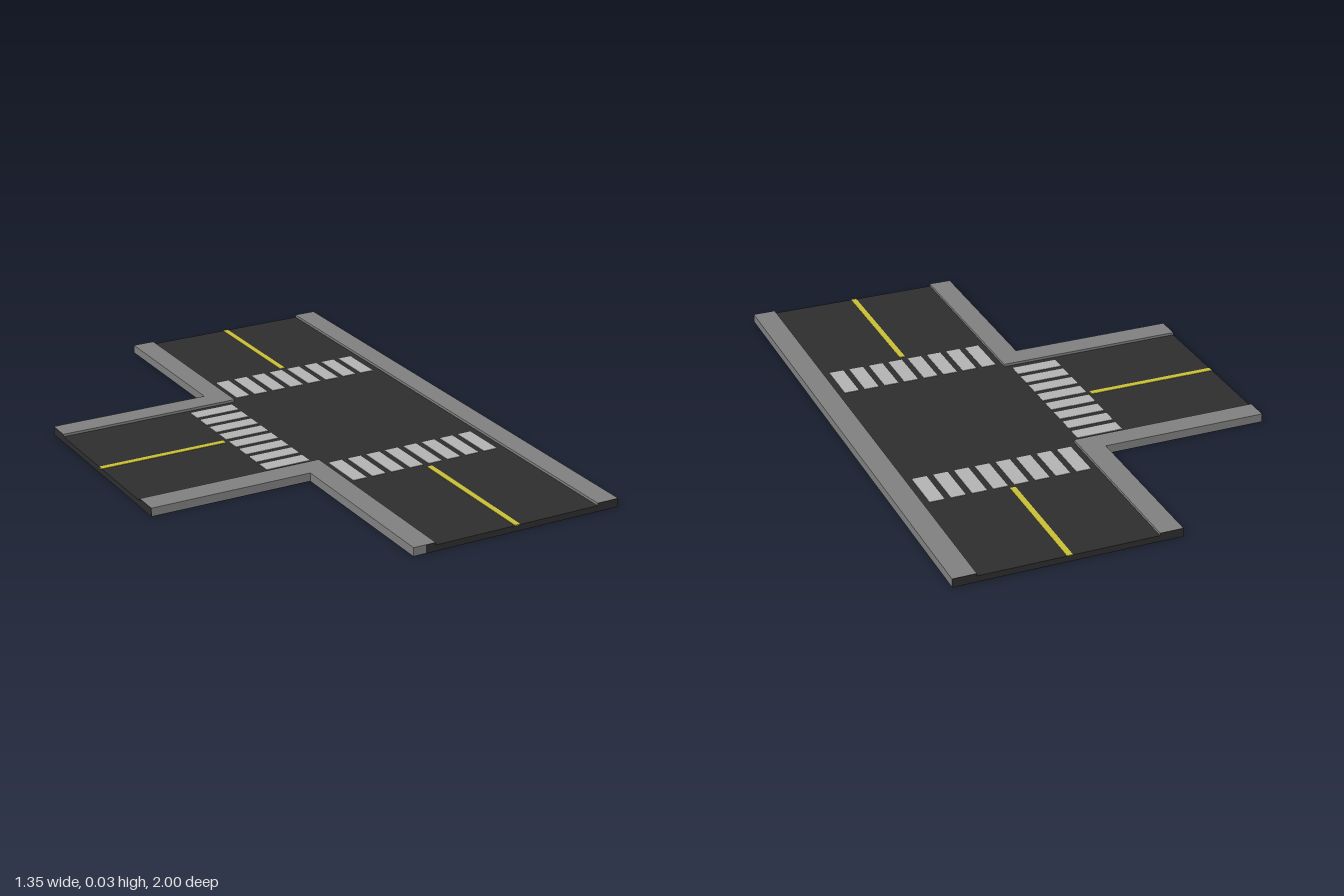
import * as THREE from 'three';

const mat = (color) => new THREE.MeshStandardMaterial({ color });

export function createModel() {
  const model = new THREE.Group();
  const asphalt = mat(0x2d2d2d);
  const concrete = mat(0x7f7f7f);
  const paint = mat(0xb2b2b2);
  const yellow = mat(0xc8be35);

  // Plan outline of [x, z] corners, raised from y0 to y1
  const slab = (name, points, y0, y1, material) => {
    const shape = new THREE.Shape(points.map(([x, z]) => new THREE.Vector2(x, z)));
    const geo = new THREE.ExtrudeGeometry(shape, { depth: y1 - y0, bevelEnabled: false });
    geo.rotateX(Math.PI / 2).translate(0, y1, 0);
    const mesh = new THREE.Mesh(geo, material);
    mesh.name = name;
    model.add(mesh);
  };
  // Box between two plan corners
  const block = (name, x0, x1, z0, z1, y0, y1, material, parent = model) => {
    const mesh = new THREE.Mesh(new THREE.BoxGeometry(x1 - x0, y1 - y0, z1 - z0), material);
    mesh.position.set((x0 + x1) / 2, (y0 + y1) / 2, (z0 + z1) / 2);
    mesh.name = name;
    parent.add(mesh);
  };

  // Main road with its side branch
  const W = -0.675, E = 0.675, A = -0.095, B = -0.015, C = 0.595;
  const N0 = -0.42, N1 = -0.34, S0 = 0.265, S1 = 0.35;
  slab('road', [[B, -1], [C, -1], [C, 1], [B, 1], [B, S0], [W, S0], [W, N1], [B, N1]], 0, 0.021, asphalt);

  // Kerbs: one straight, two turning into the branch
  const k0 = 0.001, k1 = 0.03;
  block('straightKerb', C, E, -1, 1, k0, k1, concrete);
  slab('backCornerKerb', [[A, -1], [B, -1], [B, N1], [W, N1], [W, N0], [A, N0]], k0, k1, concrete);
  slab('frontCornerKerb', [[A, 1], [A, S1], [W, S1], [W, S0], [B, S0], [B, 1]], k0, k1, concrete);

  // Dark faces where the kerbs are cut off
  const t = 0.0008;
  for (const z of [-1, 1]) {
    block('kerbEnd', C, E, z - t, z + t, 0, k1, asphalt);
    block('kerbEnd', z > 0 ? -0.05 : A, B, z - t, z + t, 0, k1, asphalt);
  }
  block('kerbEnd', W - t, W + t, N0, N1, 0, k1, asphalt);
  block('kerbEnd', W - t, W + t, S0, S1, 0, k1, asphalt);

  // Underside of the kerbs, with a yellow strip below the straight one
  block('backKerbBase', A, B, -1, N1, 0, k0, asphalt);
  block('frontKerbBase', A, B, S0, 1, 0, k0, asphalt);
  block('branchKerbBase', W, A, N0, N1, 0, k0, asphalt);
  block('branchKerbBase', W, A, S0, S1, 0, k0, asphalt);
  block('straightKerbBase', C, E, -1, -0.38, 0, k0, asphalt);
  block('straightKerbBase', C, E, 0.38, 1, 0, k0, asphalt);
  block('yellowKerbBase', C, E, -0.38, 0.38, 0, k0, yellow);

  // Crossings of eight painted bars each
  const m0 = 0.02, m1 = 0.0225;
  const names = ['backCrossing', 'frontCrossing', 'branchCrossing'];
  const [back, front, branch] = names.map((name) => {
    const group = new THREE.Group();
    group.name = name;
    model.add(group);
    return group;
  });
  for (let i = 0; i < 8; i++) {
    const x = 0.008 + i * 0.0727, z = -0.32 + i * 0.0729;
    block('bar', x, x + 0.051, -0.53, -0.368, m0, m1, paint, back);
    block('bar', x, x + 0.051, 0.29, 0.455, m0, m1, paint, front);
    block('bar', -0.2, -0.037, z, z + 0.052, m0, m1, paint, branch);
  }

  // Centre lines
  block('backCentreLine', 0.279, 0.299, -1, -0.545, m0, m1, yellow);
  block('frontCentreLine', 0.279, 0.299, 0.475, 1, m0, m1, yellow);
  block('branchCentreLine', W, -0.213, -0.047, -0.026, m0, m1, yellow);

  return model;
}
